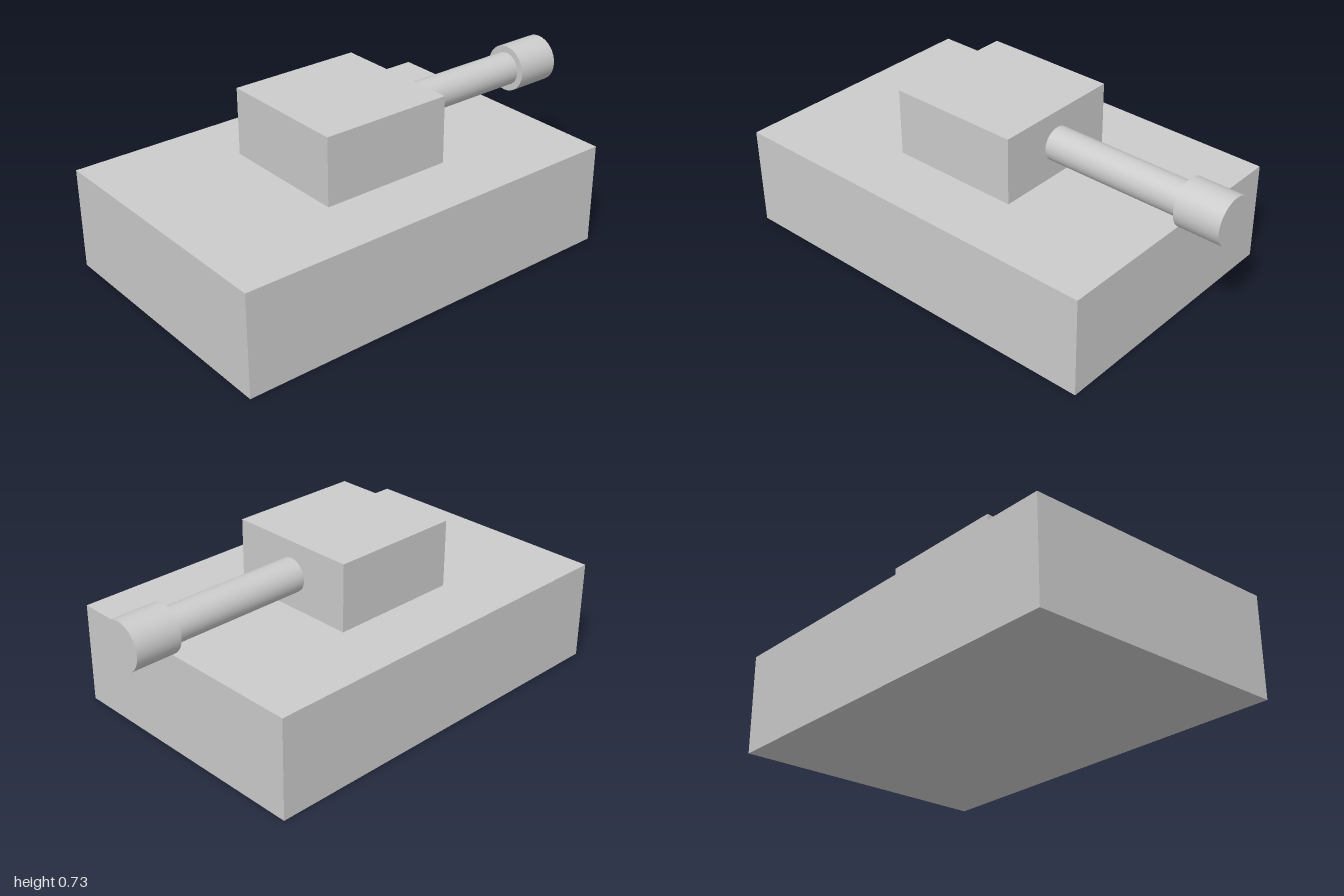
import * as THREE from 'three';

export function createModel() {
  const model = new THREE.Group();
  model.name = 'tank';
  const material = new THREE.MeshStandardMaterial({ color: 0xcccccc });

  function add(name, geometry, y, z) {
    const mesh = new THREE.Mesh(geometry, material);
    mesh.name = name;
    mesh.position.set(0, y, z);
    model.add(mesh);
  }

  // Round part lying along z, from z0 back to z1
  function addTube(name, radius, z0, z1) {
    const geometry = new THREE.CylinderGeometry(radius, radius, z0 - z1, 32);
    geometry.rotateX(-Math.PI / 2);
    add(name, geometry, 0.583, (z0 + z1) / 2);
  }

  // Hull and turret blocks
  add('hull', new THREE.BoxGeometry(1.167, 0.4375, 1.75), 0.21875, 0.125);
  add('turret', new THREE.BoxGeometry(0.583, 0.2917, 0.583), 0.5833, 0.125);

  // Gun pointing to the back, with a thicker muzzle
  addTube('barrel', 0.073, -0.16, -0.81);
  addTube('muzzle', 0.102, -0.8, -1);

  return model;
}
